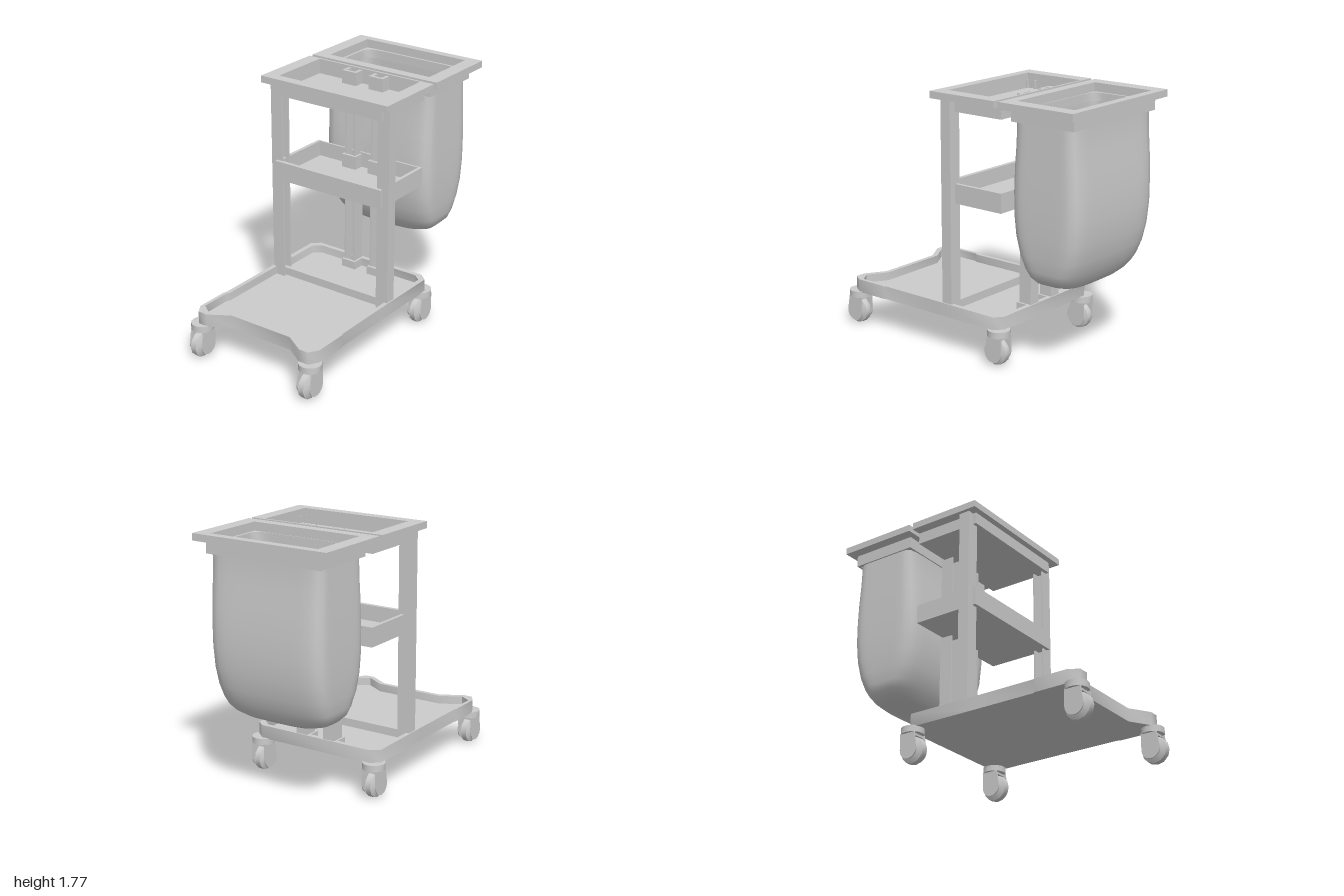
import * as THREE from 'three';
import { toCreasedNormals } from 'three/addons/utils/BufferGeometryUtils.js';

const material = new THREE.MeshStandardMaterial({ color: 0xcccccc });
const doubleSided = new THREE.MeshStandardMaterial({ color: 0xcccccc, side: THREE.DoubleSide });

function add(parent, name, geometry, mat = material) {
  const mesh = new THREE.Mesh(geometry, mat);
  mesh.name = name;
  parent.add(mesh);
  return mesh;
}

const toPoints = (list) => list.map(([x, z]) => new THREE.Vector2(x, z));
const rect = (x0, x1, z0, z1) => [[x0, z0], [x1, z0], [x1, z1], [x0, z1]];

// Plan outline in (x, z), extruded between two heights; slanted corners are shaded smoothly
function slab(outline, y0, y1, hole) {
  const shape = new THREE.Shape(toPoints(outline));
  if (hole) shape.holes.push(new THREE.Path(toPoints(hole)));
  const g = new THREE.ExtrudeGeometry(shape, { depth: y1 - y0, bevelEnabled: false });
  return toCreasedNormals(g.rotateX(Math.PI / 2).translate(0, y1, 0), 1.1);
}

// Full outline from its right half, which runs from back to front
const mirrored = (half) => [...half, ...half.map(([x, z]) => [-x, z]).reverse()];

// Walls around an opening plus a floor
function tray(parent, name, outer, inner, y0, y1, floorY) {
  const group = new THREE.Group();
  group.name = name;
  add(group, name + 'Walls', slab(outer, y0, y1, inner));
  add(group, name + 'Floor', slab(inner, y0, floorY));
  parent.add(group);
  return group;
}

// Swivel caster: mounting disc, two fork plates and a bevelled wheel
function caster(x, z) {
  const group = new THREE.Group();
  group.name = 'caster';
  add(group, 'mountingDisc', toCreasedNormals(
    new THREE.CylinderGeometry(0.078, 0.078, 0.045, 16), 0.6).translate(0, 0.232, 0));

  const profile = toPoints([[0, -0.05], [0.03, -0.048], [0.091, -0.021],
    [0.091, 0.021], [0.03, 0.048], [0, 0.05]]);
  const wheel = new THREE.LatheGeometry(profile, 12).rotateZ(Math.PI / 2);
  add(group, 'wheel', toCreasedNormals(wheel, 0.8).translate(0, 0.098, 0.015));

  const plate = new THREE.Shape();
  plate.moveTo(0.055, 0.215);
  plate.lineTo(-0.06, 0.215);
  plate.lineTo(-0.06, 0.1);
  plate.absarc(0.008, 0.1, 0.068, Math.PI, Math.PI * 2, false);
  plate.lineTo(0.055, 0.215);
  for (const side of [-1, 1]) {
    const g = new THREE.ExtrudeGeometry(plate, { depth: 0.008, bevelEnabled: false, curveSegments: 8 });
    g.rotateY(-Math.PI / 2).translate(side * 0.052 + 0.004, 0, 0);
    add(group, 'forkPlate', g);
  }
  add(group, 'forkBridge', new THREE.BoxGeometry(0.104, 0.02, 0.1).translate(0, 0.204, -0.005));
  group.position.set(x, 0, z);
  return group;
}

// Bag lofted through rounded rectangular sections, from the folded hem to the sagging bottom
function bagGeometry() {
  // height, half width, half depth, corner exponent
  const rows = [[1.66, 0.392, 0.213, 10], [1.72, 0.394, 0.214, 10], [1.72, 0.428, 0.236, 12],
    [1.62, 0.43, 0.236, 12], [1.5, 0.432, 0.242, 11], [1.35, 0.435, 0.256, 10],
    [1.2, 0.437, 0.265, 9], [1.05, 0.438, 0.269, 8], [0.9, 0.435, 0.26, 7],
    [0.78, 0.428, 0.238, 6], [0.69, 0.416, 0.21, 5], [0.635, 0.4, 0.18, 4.5],
    [0.6, 0.365, 0.16, 4], [0.577, 0.3, 0.14, 3.5], [0.57, 0.15, 0.08, 3],
    [0.57, 0.001, 0.001, 2]];
  const count = 64;
  const position = [];
  const index = [];
  rows.forEach(([y, halfX, halfZ, n], r) => {
    for (let i = 0; i < count; i++) {
      const a = (i / count) * Math.PI * 2;
      const c = Math.cos(a), s = Math.sin(a);
      const k = (Math.abs(c) ** n + Math.abs(s) ** n) ** (-1 / n);
      position.push(c * k * halfX, y, -0.71 + s * k * halfZ);
      if (r === rows.length - 1) continue;
      const p = r * count + i, q = r * count + (i + 1) % count;
      index.push(p, q, p + count, q, q + count, p + count);
    }
  });
  const g = new THREE.BufferGeometry();
  g.setAttribute('position', new THREE.Float32BufferAttribute(position, 3));
  g.setIndex(index);
  return toCreasedNormals(g, 1);
}

export function createModel() {
  const model = new THREE.Group();
  model.name = 'serviceCart';

  // Base tray with a notched front
  const baseOuter = mirrored([[0.44, -0.414], [0.5, -0.365], [0.495, 0.15], [0.495, 0.6],
    [0.503, 0.62], [0.503, 0.86], [0.46, 0.928], [0.39, 0.928], [0.245, 0.84]]);
  const baseInner = mirrored([[0.41, -0.38], [0.465, -0.335], [0.465, 0.15], [0.465, 0.6],
    [0.478, 0.62], [0.478, 0.84], [0.40, 0.892], [0.26, 0.808]]);
  const base = tray(model, 'baseTray', baseOuter, baseInner, 0.25, 0.343, 0.285);
  add(base, 'baseDivider', new THREE.BoxGeometry(0.94, 0.085, 0.03).translate(0, 0.3, 0.045));

  for (const side of [-1, 1]) {
    model.add(caster(side * 0.455, 0.897), caster(side * 0.455, -0.38));
  }

  // Shelves
  const shelfOuter = rect(-0.44, 0.44, -0.385, 0.11);
  const shelfInner = rect(-0.415, 0.415, -0.37, 0.08);
  tray(model, 'middleTray', shelfOuter, shelfInner, 1.035, 1.168, 1.06);
  const top = tray(model, 'topTray', shelfOuter, shelfInner, 1.65, 1.735, 1.675);
  add(top, 'topTrayRim', slab(rect(-0.514, 0.514, -0.385, 0.153), 1.732, 1.78, shelfInner));

  // Front posts: channels that open inwards
  for (const side of [-1, 1]) {
    const channel = [[0.395, 0.005], [0.487, 0.005], [0.487, 0.085], [0.395, 0.085],
      [0.395, 0.073], [0.475, 0.073], [0.475, 0.017], [0.395, 0.017]];
    add(model, 'frontPost', slab(channel.map(([x, z]) => [side * x, z]), 0.26, 1.735));
  }

  // Rear posts: channels that open to the front, held by a collar at each tray
  for (const cx of [-0.11, 0.11]) {
    const channel = [[-0.043, -0.405], [0.043, -0.405], [0.043, -0.31], [0.032, -0.31],
      [0.032, -0.39], [-0.032, -0.39], [-0.032, -0.31], [-0.043, -0.31]];
    add(model, 'rearPost', slab(channel.map(([x, z]) => [cx + x, z]), 0.26, 1.76));
    for (const [y0, y1, back] of [[0.28, 0.343, -0.405], [1.055, 1.155, -0.384], [1.67, 1.768, -0.406]]) {
      add(model, 'postCollar', slab(rect(cx - 0.058, cx + 0.058, back, -0.295), y0, y1,
        rect(cx - 0.033, cx + 0.033, -0.38, -0.317)));
    }
  }

  // Bag holder behind the shelves
  const holder = new THREE.Group();
  holder.name = 'bagHolder';
  const opening = rect(-0.412, 0.412, -0.94, -0.49);
  add(holder, 'holderRim', slab(rect(-0.514, 0.514, -1, -0.418), 1.732, 1.78, opening));
  add(holder, 'holderSkirt', slab(rect(-0.44, 0.44, -0.955, -0.465), 1.65, 1.735, opening));
  add(holder, 'bag', bagGeometry(), doubleSided);
  model.add(holder);

  return model;
}
